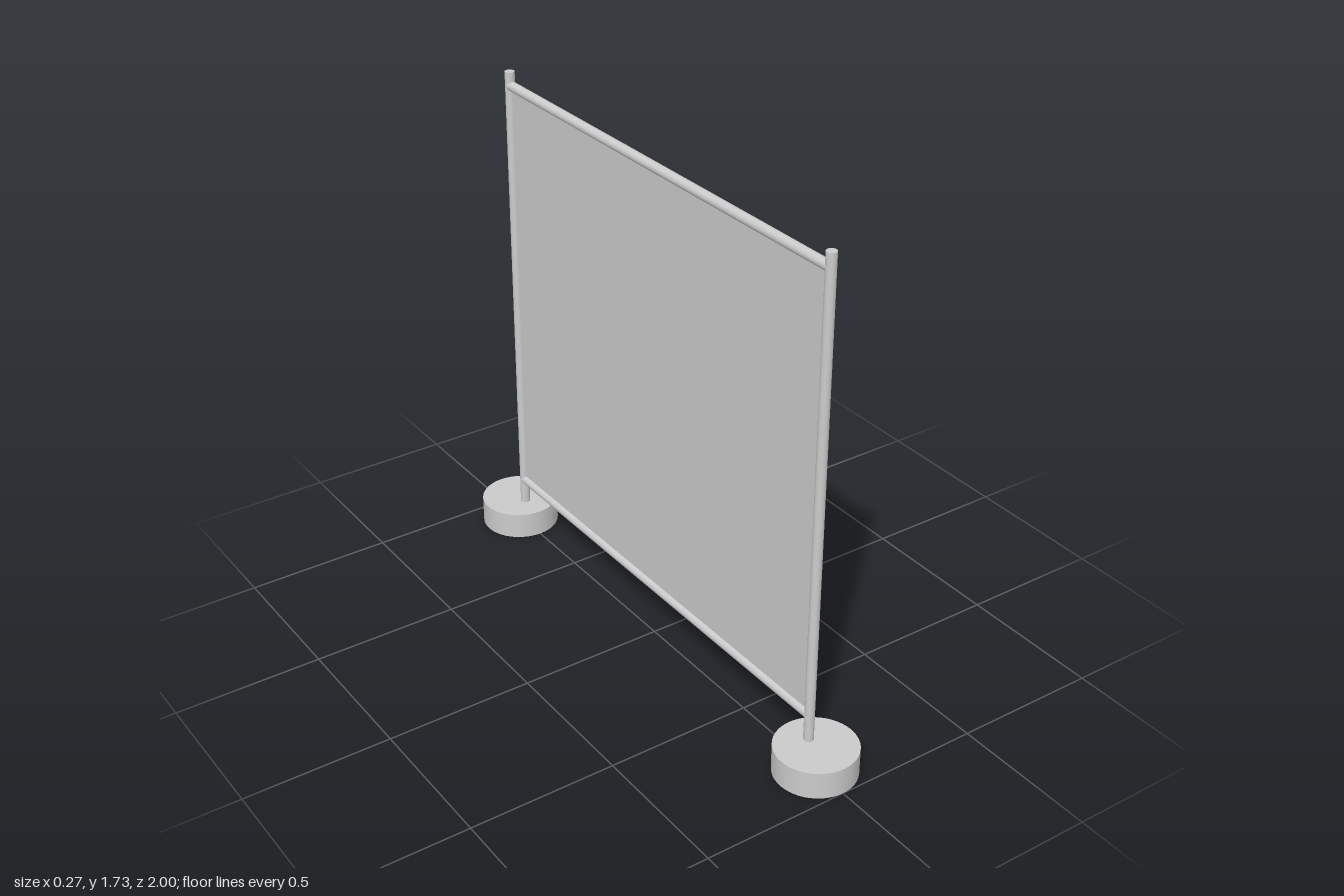
import * as THREE from 'three';

// Free-standing screen: two weighted feet, two posts, two rails and a thin panel
export function createModel() {
  const group = new THREE.Group();
  const material = new THREE.MeshStandardMaterial({ color: 0xcccccc });
  const postZ = 0.827, tube = 0.0165, baseHeight = 0.094, postTop = 1.73;
  const railLow = 0.186, railHigh = 1.682;

  const add = (name, geometry, x, y, z) => {
    const mesh = new THREE.Mesh(geometry, material);
    mesh.name = name;
    mesh.position.set(x, y, z);
    group.add(mesh);
    return mesh;
  };

  // Round feet, set slightly outside the posts
  for (const [side, s] of [['front', 1], ['back', -1]]) {
    add(side + 'Base', new THREE.CylinderGeometry(0.135, 0.135, baseHeight, 48), 0, baseHeight / 2, s * 0.865);
    const length = postTop - baseHeight / 2;
    add(side + 'Post', new THREE.CylinderGeometry(tube, tube, length, 24), 0, postTop - length / 2, s * postZ);
  }

  // Horizontal rails between the posts
  for (const [name, y] of [['bottomRail', railLow], ['topRail', railHigh]]) {
    const rail = add(name, new THREE.CylinderGeometry(tube, tube, postZ * 2, 24), 0, y, 0);
    rail.rotation.x = Math.PI / 2;
  }

  // Thin panel filling the frame
  add('panel', new THREE.BoxGeometry(0.005, railHigh - railLow, postZ * 2), 0, (railLow + railHigh) / 2, 0);

  return group;
}
